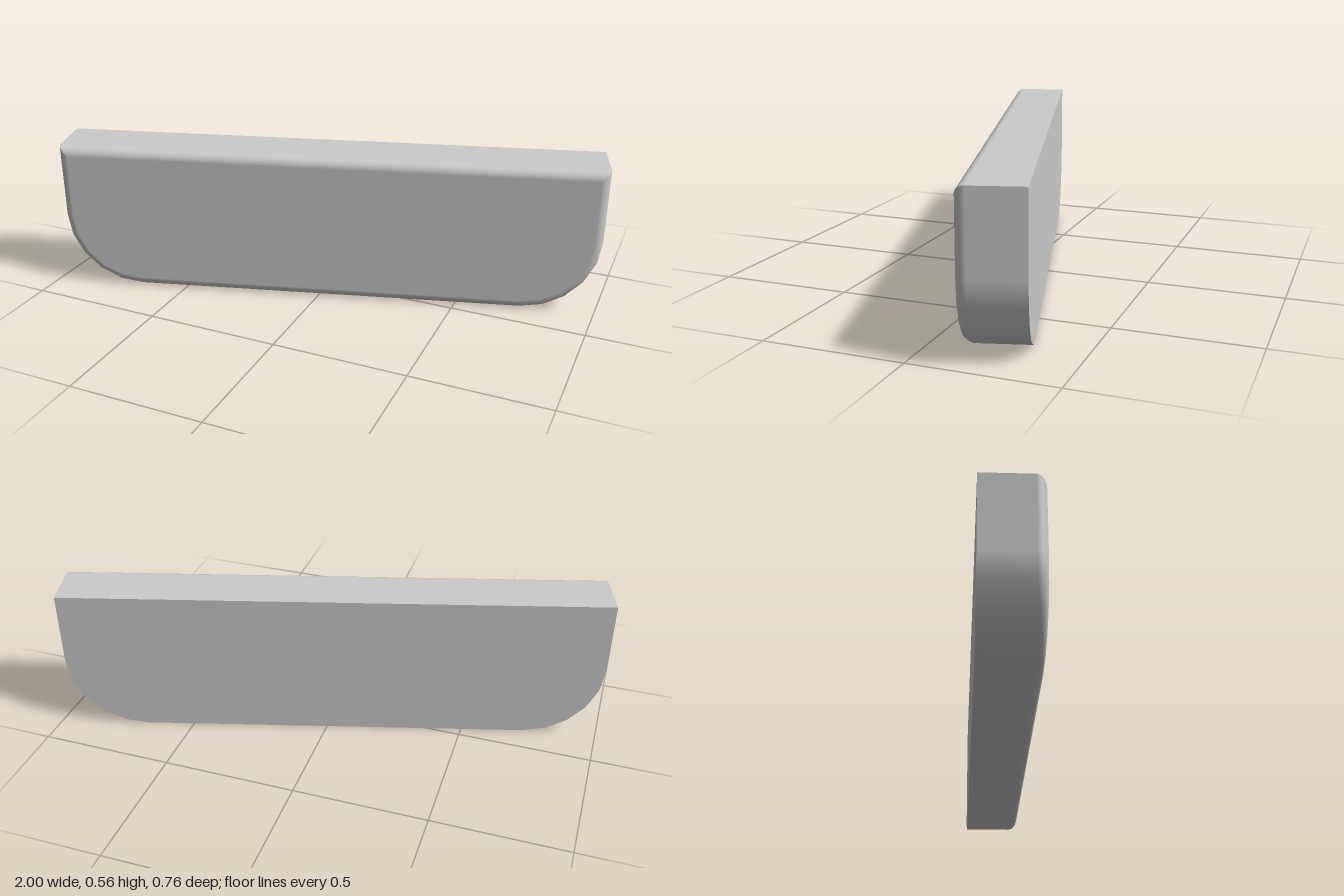
import * as THREE from 'three';

const A = 1.014, B = 0.108, H = 0.563; // half length, half thickness, height
const R = 0.285, BEVEL = 0.035, ARC = 5, STEPS = 6;

// Outline, counter-clockwise: arc centre c, offset direction d, surface normal n
function outline() {
  const pts = [];
  const corner = (s, nx, ny) => pts.push({ c: [s * (A - R), H - R], d: [s, 1], n: [nx, ny] });
  corner(1, 0, 1);
  corner(-1, 0, 1);
  corner(-1, -1, 0);
  for (const s of [-1, 1]) {
    for (let i = 0; i <= ARC; i++) {
      const t = (s < 0 ? Math.PI : 1.5 * Math.PI) + (i / ARC) * Math.PI / 2;
      const d = [Math.cos(t), Math.sin(t)];
      pts.push({ c: [s * (A - R), R], d, n: d });
    }
  }
  corner(1, 1, 0);
  return pts;
}

const at = (p, inset) => p.c.map((v, i) => v + p.d[i] * (R - inset));

// Side wall that rolls over into the front face
function rimGeometry(pts) {
  const rings = [{ z: -B, t: 0 }];
  for (let k = 0; k <= STEPS; k++) {
    const t = (k / STEPS) * Math.PI / 2;
    rings.push({ z: B - BEVEL + BEVEL * Math.sin(t), t });
  }
  const pos = [], nor = [], idx = [], n = pts.length;
  rings.forEach(({ z, t }, k) => pts.forEach((p, j) => {
    const c = Math.cos(t);
    pos.push(...at(p, BEVEL * (1 - c)), z);
    nor.push(p.n[0] * c, p.n[1] * c, Math.sin(t));
    if (k && j < n - 1) {
      const a = (k - 1) * n + j, b = k * n + j;
      idx.push(a, a + 1, b + 1, a, b + 1, b);
    }
  }));
  const g = new THREE.BufferGeometry();
  g.setAttribute('position', new THREE.Float32BufferAttribute(pos, 3));
  g.setAttribute('normal', new THREE.Float32BufferAttribute(nor, 3));
  g.setIndex(idx);
  return g;
}

// Flat face with the outline inset by the bevel
function faceGeometry(pts, inset) {
  const unique = pts.filter((p, j) => j !== 2 && j !== pts.length - 1);
  return new THREE.ShapeGeometry(new THREE.Shape(unique.map(p => new THREE.Vector2(...at(p, inset)))));
}

export function createModel() {
  const group = new THREE.Group();
  group.name = 'roundedPanel';
  const material = new THREE.MeshStandardMaterial({ color: 0xcccccc });
  const pts = outline();
  const add = (name, geometry) => {
    const mesh = new THREE.Mesh(geometry, material);
    mesh.name = name;
    panel.add(mesh);
  };

  // Panel turned about the vertical axis
  const panel = new THREE.Group();
  panel.name = 'panel';
  panel.rotation.y = THREE.MathUtils.degToRad(16);
  panel.position.set(0.004, 0, 0.004);
  group.add(panel);

  add('rim', rimGeometry(pts));
  add('frontFace', faceGeometry(pts, BEVEL).translate(0, 0, B));
  // Mirrored outline is the same, so a half turn gives the back
  add('backFace', faceGeometry(pts, 0).rotateY(Math.PI).translate(0, 0, -B));
  return group;
}
